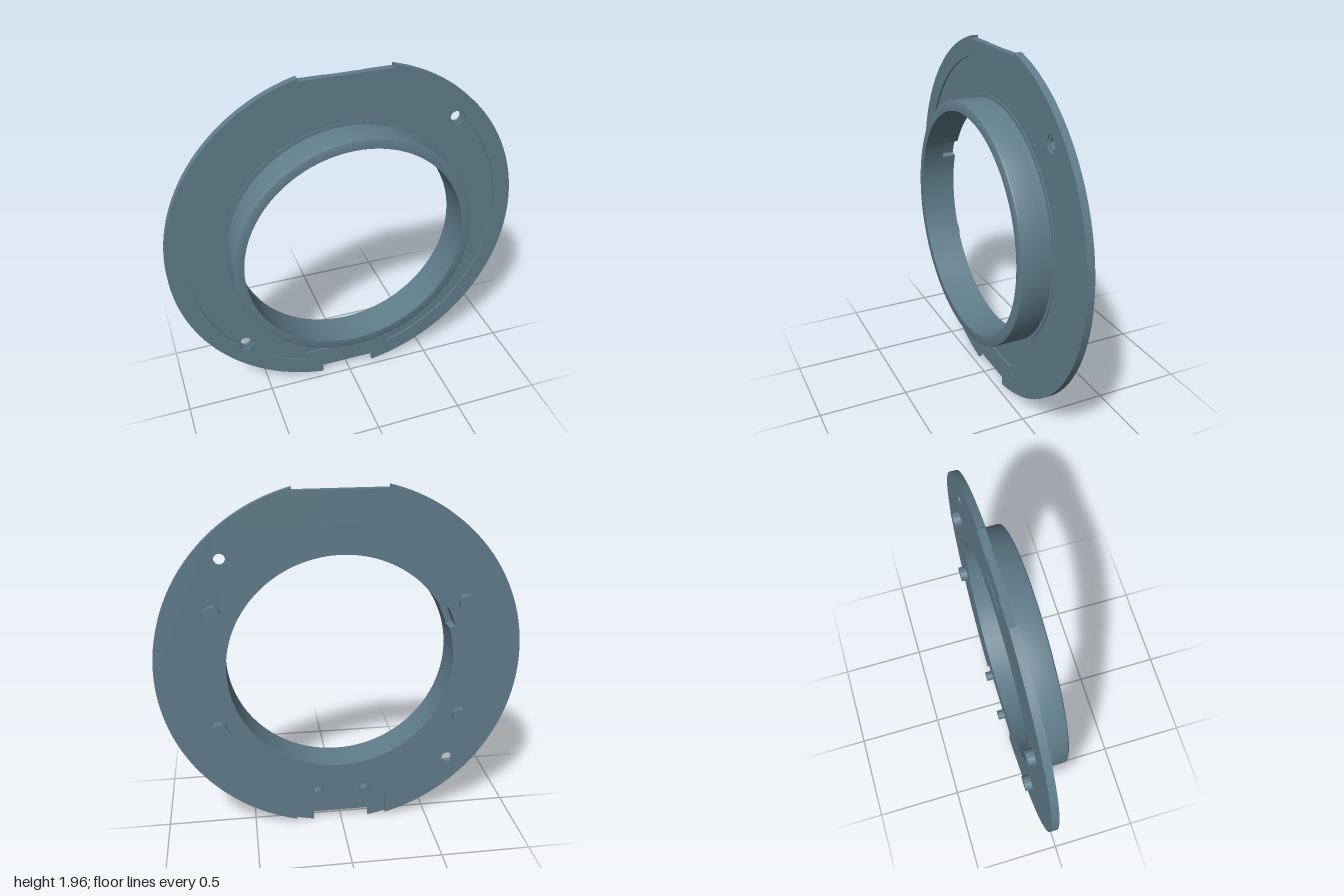
import * as THREE from 'three';
import { toCreasedNormals } from 'three/addons/utils/BufferGeometryUtils.js';

const CY = 0.987;            // height of the ring's axis
const BORE = 0.62, COLLAR = 0.675;
const SCREW = 0.62;          // screw holes sit at (+s, +s) and (-s, -s)

export function createModel() {
  const model = new THREE.Group();
  const ring = new THREE.Group();
  ring.name = 'flangeRing';
  ring.position.y = CY;
  model.add(ring);

  const material = new THREE.MeshStandardMaterial({ color: 0x607d8b });
  material.name = 'blueGrey';

  const add = (name, geometry) => {
    const mesh = new THREE.Mesh(toCreasedNormals(geometry, 0.5), material);
    mesh.name = name;
    ring.add(mesh);
    return mesh;
  };
  const V = (x, y) => new THREE.Vector2(x, y);

  // points along an arc whose radius may vary with the angle
  const arc = (a0, a1, radius, n = 96) => Array.from({ length: n + 1 }, (_, i) => {
    const a = a0 + (a1 - a0) * i / n;
    const r = typeof radius === 'function' ? radius(a) : radius;
    return V(r * Math.cos(a), r * Math.sin(a));
  });
  const circle = (r, x = 0, y = 0, n = 32) =>
    arc(0, Math.PI * 2, r, n).slice(0, -1).map(p => V(p.x + x, p.y + y));

  // unit disc with a flat notch at the top and at the bottom
  const TOP_W = 0.25;
  const outline = (bottomW, bottomY, pocket = false) => {
    const aB = -Math.acos(bottomW), aT = Math.acos(TOP_W), topY = 0.953;
    const right = arc(aB, aT, 1);
    const middle = pocket
      ? [V(0.1, topY), V(0.1, 0.79), V(-0.1, 0.79), V(-0.1, topY)] : [];
    return [
      V(bottomW, bottomY), ...right, V(TOP_W, topY), ...middle, V(-TOP_W, topY),
      ...right.slice().reverse().map(p => V(-p.x, p.y)), V(-bottomW, bottomY),
    ];
  };

  // bore with a small key slot
  const slotAngle = THREE.MathUtils.degToRad(157), slotHalf = 0.09;
  const slottedBore = [
    ...arc(slotAngle - slotHalf, slotAngle + slotHalf, 0.655, 8),
    ...arc(slotAngle + slotHalf, slotAngle - slotHalf + Math.PI * 2, BORE, 160),
  ];

  const screwHoles = r => [circle(r, SCREW, SCREW), circle(r, -SCREW, -SCREW)];

  const slab = (name, points, holes, z0, z1) => {
    const shape = new THREE.Shape(points);
    shape.holes = holes.map(h => new THREE.Path(h));
    const g = new THREE.ExtrudeGeometry(shape, { depth: z1 - z0, bevelEnabled: false });
    g.translate(0, 0, z0);
    return add(name, g);
  };

  // plate layers, from back to front
  const back = [slottedBore, ...screwHoles(0.03)];
  slab('plateBackSkin', outline(0.26, -0.807, true), back, -0.08, -0.076);
  slab('plateBack', outline(0.26, -0.807), back, -0.076, -0.06);
  slab('plateMiddle', outline(0.16, -0.937), [slottedBore, ...screwHoles(0.045)], -0.06, -0.05);

  // raised outer rim: its inner edge bulges round the counterbores and steps in at the bottom pad
  const screwDist = SCREW * Math.SQRT2;
  const rimRadius = a => {
    let r = 0.9;
    for (const s of [Math.PI / 4, Math.PI * 1.25]) {
      const d = Math.atan2(Math.sin(a - s), Math.cos(a - s));
      const q = 0.045 ** 2 - (screwDist * Math.sin(d)) ** 2;
      if (q > 0 && Math.abs(d) < 1) r = Math.max(r, screwDist * Math.cos(d) + Math.sqrt(q));
    }
    return r;
  };
  const padAngle = Math.asin(0.26 / 0.9);
  const rimHole = [
    ...arc(-Math.PI / 2 + padAngle, Math.PI * 1.5 - padAngle, rimRadius, 360),
    V(-0.26, -0.807), V(0.26, -0.807),
  ];
  slab('raisedRim', outline(0.16, -0.937), [rimHole], -0.05, -0.04);

  // collar: slotted base, foot step and rounded front part
  slab('collarFoot', circle(0.695, 0, 0, 160), [circle(0.67, 0, 0, 160)], -0.05, -0.045);
  slab('collarBase', circle(COLLAR, 0, 0, 160), [slottedBore], -0.05, 0);
  const profile = [
    [COLLAR, 0], [COLLAR, 0.108], [0.672, 0.116], [0.664, 0.12],
    [BORE, 0.12], [BORE, 0], [COLLAR, 0],
  ].map(p => V(...p));
  const collar = new THREE.LatheGeometry(profile, 160);
  collar.rotateX(Math.PI / 2);
  add('collarFront', collar);

  // locating pins on the back
  const pin = (name, x, y, r, z0, z1) => {
    const g = new THREE.CylinderGeometry(r, r, z1 - z0, 32);
    g.rotateX(Math.PI / 2);
    add(name, g).position.set(x, y - CY, (z0 + z1) / 2);
  };
  for (const side of [-1, 1]) {
    pin('upperPin', side * 0.675, 1.325, 0.043, -0.12, -0.078);
    pin('lowerPin', side * 0.675, 0.65, 0.043, -0.12, -0.078);
    pin('smallPin', side * 0.135, 0.2, 0.029, -0.12, -0.06);
  }
  return model;
}
